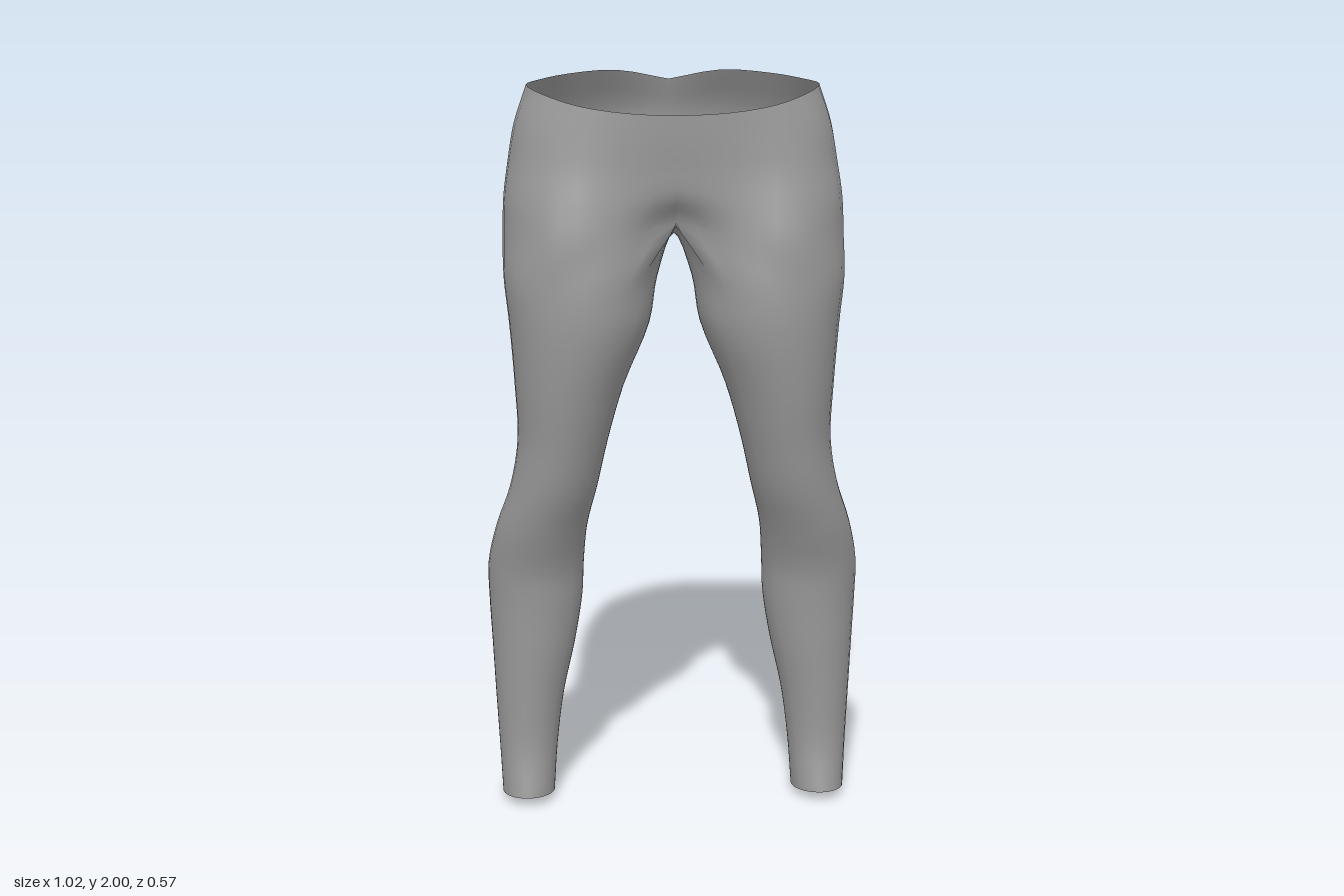
import * as THREE from 'three';
import { mergeVertices } from 'three/addons/utils/BufferGeometryUtils.js';

const M = 24;   // columns round the outside of one half
const K = 12;   // columns round the inner thigh
const S = 4;    // rows between two sections
const V = (x, y, z) => new THREE.Vector3(x, y, z);

// Hip sections of the left half, from front centre round the side to back centre
const hips = [
  [[0, 1.92, .242], [.13, 1.925, .235], [.25, 1.94, .195], [.345, 1.965, .11], [.383, 1.98, .01],
    [.355, 1.985, -.07], [.27, 1.995, -.16], [.14, 2, -.215], [0, 1.975, -.225]],
  [[0, 1.86, .24], [.14, 1.86, .235], [.28, 1.87, .2], [.38, 1.88, .115], [.417, 1.88, 0],
    [.385, 1.88, -.12], [.28, 1.88, -.22], [.14, 1.89, -.272], [0, 1.88, -.248]],
  [[0, 1.79, .235], [.15, 1.78, .235], [.3, 1.78, .215], [.4, 1.78, .125], [.435, 1.78, 0],
    [.4, 1.78, -.13], [.29, 1.78, -.23], [.14, 1.79, -.278], [0, 1.79, -.238]],
  [[0, 1.71, .225], [.15, 1.69, .24], [.3, 1.69, .245], [.41, 1.69, .15], [.447, 1.69, .02],
    [.41, 1.69, -.11], [.29, 1.69, -.205], [.14, 1.69, -.235], [0, 1.71, -.2]],
  [[0, 1.64, .18], [.15, 1.6, .245], [.3, 1.6, .268], [.41, 1.6, .17], [.45, 1.6, .04],
    [.415, 1.6, -.075], [.3, 1.6, -.155], [.15, 1.6, -.165], [0, 1.63, -.13]],
];

// Leg sections: height, inner x, outer x, front z, back z
const legs = [
  [1.49, .045, .449, .281, -.124],
  [1.37, .066, .437, .284, -.115],
  [1.2, .135, .425, .262, -.095],
  [1.05, .178, .42, .233, -.07],
  [.92, .207, .442, .205, -.066],
  [.8, .235, .482, .165, -.1],
  [.68, .246, .508, .125, -.14],
  [.58, .251, .508, .113, -.149],
  [.45, .272, .502, .106, -.137],
  [.3, .305, .495, .098, -.118],
  [.15, .325, .487, .098, -.096],
  [.015, .335, .48, .125, -.086],
];

const OPEN = THREE.MathUtils.degToRad(140);   // where the crotch seam meets the leg

function legPoint([y, xi, xo, zf, zb], angle) {
  const tilt = y < .1 ? .015 * Math.sin(angle) : 0;   // slanted hem
  return V((xi + xo) / 2 + Math.cos(angle) * (xo - xi) / 2, y + tilt,
    (zf + zb) / 2 + Math.sin(angle) * (zf - zb) / 2);
}

// Columns of points running downwards; the inner ones start at the crotch seam
function makeColumns() {
  const columns = [];
  const arcs = hips.map(row => {
    const p = row.map(c => V(...c));
    return new THREE.CatmullRomCurve3([V(-p[1].x, p[1].y, p[1].z), ...p]);
  });
  const hipRows = hips.length - 1;

  for (let j = 0; j <= M; j++) {
    const angle = OPEN * (1 - 2 * j / M);
    const points = arcs.map(a => a.getPoint((1 + 8 * j / M) / 9));
    if (j === 0 || j === M) points.forEach(p => { p.x = 0; });
    legs.forEach(l => points.push(legPoint(l, angle)));
    columns.push(new THREE.CatmullRomCurve3(points).getPoints((points.length - 1) * S));
  }

  const front = columns[0][hipRows * S], back = columns[M][hipRows * S];
  for (let k = 1; k < K; k++) {
    const t = k / K;
    const angle = -OPEN - t * 2 * (Math.PI - OPEN);
    const seam = back.clone().lerp(front, t);
    seam.y -= .042 * Math.sin(Math.PI * t);
    const leg = legs.map(l => legPoint(l, angle));
    // a mirrored first point keeps the crotch rounded across the middle
    const points = [V(-leg[0].x, leg[0].y, leg[0].z), seam, ...leg];
    const down = new THREE.CatmullRomCurve3(points).getPoints((points.length - 1) * S).slice(S);
    columns.push([...new Array(hipRows * S).fill(null), ...down]);
  }
  return columns;
}

function makeCloth() {
  const columns = makeColumns(), positions = [];
  const triangle = (a, b, c) => {
    for (const p of [a, b, c]) positions.push(p.x, p.y, p.z);
    for (const p of [a, c, b]) positions.push(-p.x, p.y, p.z);   // mirrored half
  };
  columns.forEach((left, j) => {
    const right = columns[(j + 1) % columns.length];
    for (let r = 0; r < left.length - 1; r++) {
      if (!left[r] || !right[r]) continue;
      if (j >= M && r < (hips.length - 1) * S) continue;
      triangle(left[r], left[r + 1], right[r + 1]);
      triangle(left[r], right[r + 1], right[r]);
    }
  });
  const geometry = new THREE.BufferGeometry();
  geometry.setAttribute('position', new THREE.Float32BufferAttribute(positions, 3));
  const merged = mergeVertices(geometry, 1e-4);
  merged.computeVertexNormals();
  return merged;
}

export function createModel() {
  const group = new THREE.Group();
  group.name = 'leggings';
  const cloth = new THREE.MeshStandardMaterial({ color: 0x999999, side: THREE.DoubleSide });
  cloth.name = 'grey cloth';
  const mesh = new THREE.Mesh(makeCloth(), cloth);
  mesh.name = 'hipsAndLegs';
  group.add(mesh);
  return group;
}
